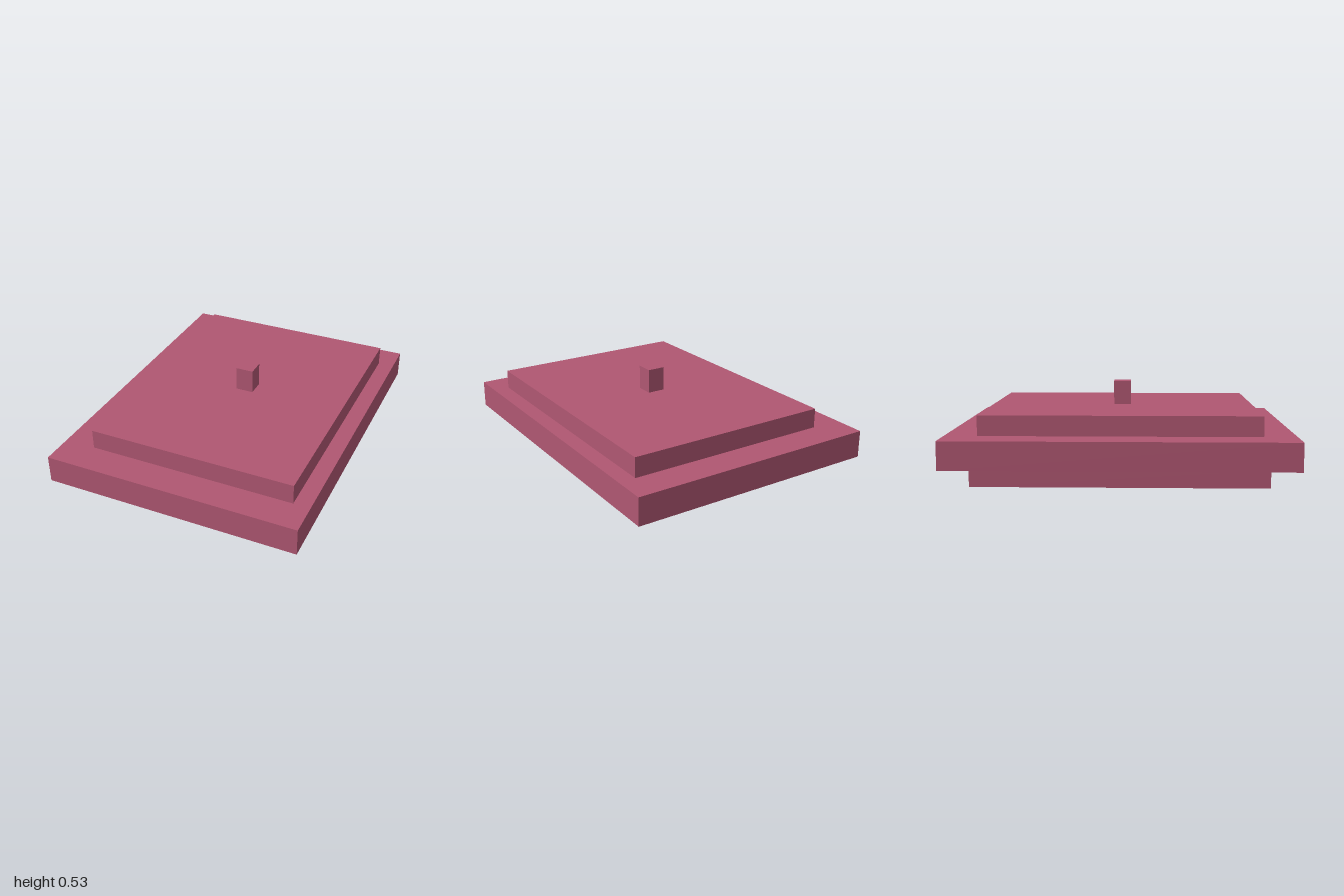
import * as THREE from 'three';

export function createModel() {
  const model = new THREE.Group();
  model.name = 'steppedLid';
  const rose = new THREE.MeshStandardMaterial({ color: 0xb05772 });
  rose.name = 'dusty rose';

  // Block spanning x0..x1 and y0..y1, centred on z
  const block = (name, x0, x1, y0, y1, depth) => {
    const mesh = new THREE.Mesh(new THREE.BoxGeometry(x1 - x0, y1 - y0, depth), rose);
    mesh.name = name;
    mesh.position.set((x0 + x1) / 2, (y0 + y1) / 2, 0);
    model.add(mesh);
  };

  block('lowerStep', -0.717, 0.522, 0, 0.099, 1.665); // inset underside
  block('mainSlab', -0.762, 0.762, 0.099, 0.263, 2); // widest tier
  block('upperStep', -0.574, 0.664, 0.263, 0.381, 1.62); // raised top tier
  block('knob', -0.007, 0.099, 0.381, 0.527, 0.105); // small square post

  return model;
}
